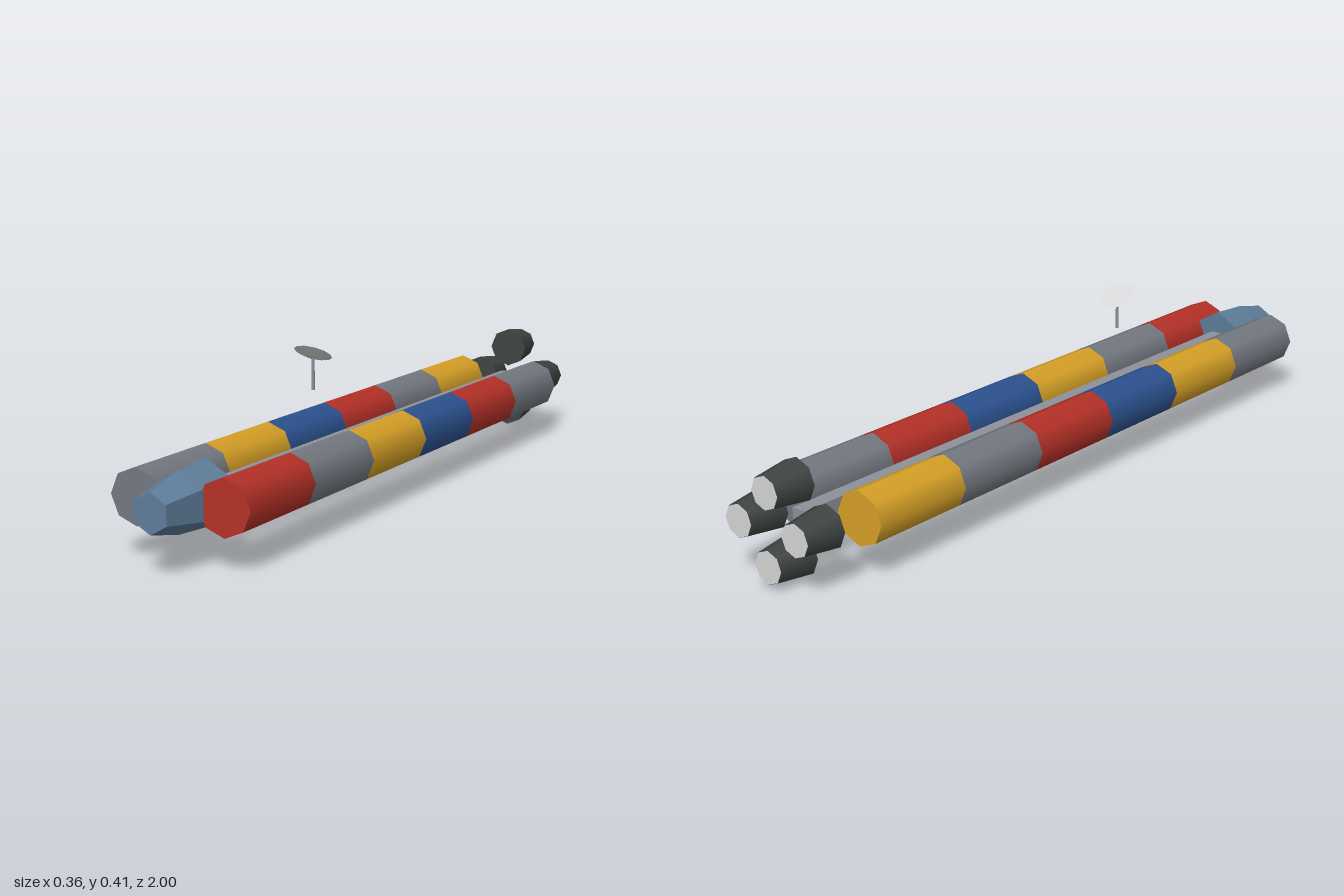
import * as THREE from 'three';

const CY = 0.147; // height of the main axis

function material(name, color) {
  const m = new THREE.MeshStandardMaterial({ color });
  m.name = name;
  return m;
}

export function createModel() {
  const model = new THREE.Group();
  model.name = 'cargoSpaceship';

  const red = material('red', 0xb53127);
  const grey = material('grey', 0x747880);
  const yellow = material('yellow', 0xd6a026);
  const blue = material('blue', 0x2c5290);
  const hullBlue = material('hullBlue', 0x5d7d99);
  const charcoal = material('charcoal', 0x3d4442);
  const steel = material('steel', 0x8c9199);
  const pale = material('pale', 0xd6d6d8);

  const add = (name, geometry, mat, x, y, z, parent = model) => {
    const mesh = new THREE.Mesh(geometry, mat);
    mesh.name = name;
    mesh.position.set(x, y, z);
    parent.add(mesh);
    return mesh;
  };
  // Prism lying along z, with the first radius at the front
  const prism = (front, back, length, sides, open = false) =>
    new THREE.CylinderGeometry(front, back, length, sides, 1, open).rotateX(Math.PI / 2);

  // Central spine
  add('spine', new THREE.BoxGeometry(0.04, 0.036, 1.72), steel, 0, CY, -0.04);

  // Two rows of cargo containers, listed from front to back
  const rows = [
    ['left', 0.114, [red, grey, yellow, blue, red, grey]],
    ['right', -0.114, [grey, yellow, blue, red, grey, yellow]],
  ];
  const step = 0.285;
  const container = prism(0.068, 0.068, step, 8);
  for (const [side, x, colours] of rows) {
    const row = new THREE.Group();
    row.name = side + 'ContainerRow';
    model.add(row);
    colours.forEach((mat, i) =>
      add('container' + (i + 1), container, mat, x, CY, 0.886 - step * (i + 0.5), row));
  }

  // Faceted command module: tapering hexagonal hull
  const hull = new THREE.LatheGeometry(
    [[0, 0.78], [0.08, 0.78], [0.072, 0.89], [0.048, 1], [0, 1]].map(p => new THREE.Vector2(...p)), 6)
    .rotateX(Math.PI / 2).toNonIndexed();
  hull.computeVertexNormals();
  add('commandModule', hull, hullBlue, 0, CY, 0);

  // Four engines around the spine, each with a pale exhaust face
  const bell = prism(0.055, 0.042, 0.1, 8);
  const exhaust = prism(0.041, 0.041, 0.002, 8);
  for (let i = 0; i < 4; i++) {
    const a = (i * Math.PI) / 2;
    const engine = new THREE.Group();
    engine.name = 'engine' + (i + 1);
    engine.position.set(0.0895 * Math.cos(a), CY + 0.0895 * Math.sin(a), -0.95);
    model.add(engine);
    add('engineBell', bell, charcoal, 0, 0, 0, engine);
    add('exhaust', exhaust, pale, 0, 0, -0.0502, engine);
  }

  // Antenna mast and backward-tilted dish
  add('antennaMast', new THREE.CylinderGeometry(0.004, 0.004, 0.082, 8), steel, 0, 0.341, 0.29);
  const dish = add('antennaDish', new THREE.CylinderGeometry(0.048, 0.012, 0.012, 12),
    pale, 0, 0.386, 0.293);
  dish.rotation.x = -Math.PI / 6;

  return model;
}
